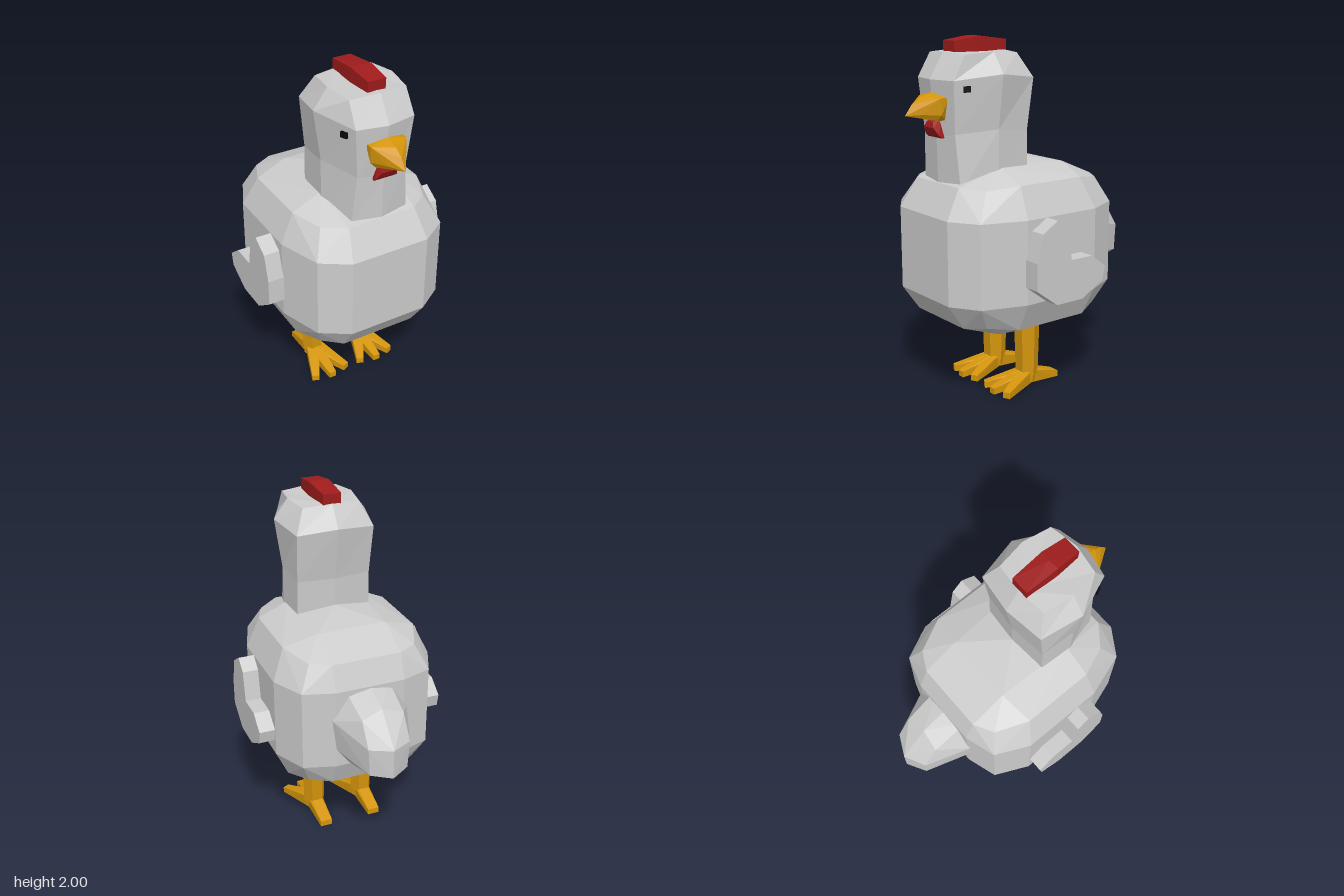
import * as THREE from 'three';
import { ConvexGeometry } from 'three/addons/geometries/ConvexGeometry.js';

const mat = (color) => new THREE.MeshStandardMaterial({ color, flatShading: true });
const grey = mat(0xcccccc), orange = mat(0xd4950c), red = mat(0xa01c1c), black = mat(0x0a0a0a);

function add(parent, name, geometry, material) {
  const mesh = new THREE.Mesh(geometry, material);
  mesh.name = name;
  parent.add(mesh);
  return mesh;
}

// Faceted solid around half-points [x, y, z], mirrored across x = 0
function hull(half) {
  const pts = [];
  for (const [x, y, z] of half) {
    pts.push(new THREE.Vector3(x, y, z));
    if (x !== 0) pts.push(new THREE.Vector3(-x, y, z));
  }
  return new ConvexGeometry(pts);
}

// Skin over stacked rings; each is a half outline [x, y, z] from back to front, mirrored
function loft(halfRings) {
  const rings = halfRings.map((h) => [
    ...h, ...h.slice(1, -1).reverse().map(([x, y, z]) => [-x, y, z]),
  ]);
  const n = rings[0].length, index = [];
  for (let r = 0; r < rings.length - 1; r++) {
    for (let i = 0; i < n; i++) {
      const a = r * n + i, b = r * n + (i + 1) % n;
      index.push(a, a + n, b, b, a + n, b + n);
    }
  }
  const top = (rings.length - 1) * n;
  for (let i = 1; i < n - 1; i++) {
    index.push(0, i, i + 1, top, top + i + 1, top + i);
  }
  // Counter-clockwise order seen from outside
  for (let i = 0; i < index.length; i += 3) {
    [index[i + 1], index[i + 2]] = [index[i + 1], index[i + 2]];
  }
  const g = new THREE.BufferGeometry();
  g.setAttribute('position', new THREE.Float32BufferAttribute(rings.flat(2), 3));
  g.setIndex(index);
  const flat = g.toNonIndexed();
  flat.computeVertexNormals();
  return flat;
}

function bodyGeometry() {
  const waist = [[0.23, 0.635], [0.385, 0.535], [0.465, 0.29], [0.465, -0.18], [0.375, -0.37], [0.2, -0.425]];
  const pts = [];
  for (const y of [0.61, 1.07]) for (const [x, z] of waist) pts.push([x, y, z]);
  // Lower bevel and belly
  pts.push([0.22, 0.465, 0.535], [0.33, 0.48, 0.46], [0.39, 0.45, 0.29], [0.39, 0.45, -0.16],
    [0.32, 0.48, -0.31], [0.2, 0.475, -0.37], [0.22, 0.38, 0.3], [0.22, 0.38, -0.15]);
  // Upper bevel and back
  pts.push([0.2, 1.23, 0.54], [0.32, 1.22, 0.45], [0.39, 1.24, 0.28], [0.39, 1.24, -0.13],
    [0.31, 1.21, -0.31], [0.2, 1.21, -0.37], [0.22, 1.315, 0.28], [0.2, 1.3, -0.16], [0, 1.34, 0.08]);
  return hull(pts);
}

function headGeometry() {
  return loft([
    [[0, 1.2, 0.08], [0.22, 1.2, 0.105], [0.23, 1.2, 0.3], [0.17, 1.2, 0.505], [0, 1.2, 0.535]],
    [[0, 1.5, 0.075], [0.215, 1.5, 0.1], [0.23, 1.52, 0.3], [0.145, 1.5, 0.52], [0, 1.48, 0.54]],
    [[0, 1.8, 0.03], [0.225, 1.78, 0.065], [0.272, 1.81, 0.3], [0.17, 1.78, 0.54], [0, 1.78, 0.575]],
    [[0, 1.92, 0.11], [0.165, 1.91, 0.13], [0.19, 1.92, 0.3], [0.165, 1.91, 0.465], [0, 1.92, 0.49]],
  ]);
}

// Wing outline as [z, y], extruded outwards
function wingGeometry() {
  const outline = [[0.165, 1.07], [0.095, 1.01], [0.065, 0.84], [-0.08, 0.84], [-0.175, 0.765], [-0.16, 0.69],
    [-0.015, 0.61], [0.165, 0.61], [0.3, 0.71], [0.3, 0.86], [0.26, 1.01]];
  const shape = new THREE.Shape(outline.map(([z, y]) => new THREE.Vector2(-z, y)));
  const g = new THREE.ExtrudeGeometry(shape, { depth: 0.155, bevelEnabled: false });
  return g.rotateY(Math.PI / 2).translate(0.4, 0, 0);
}

function toeGeometry(length, tip) {
  return hull([
    [0.045, 0.1, -0.01], [0.04, 0.02, -0.01], [0.03, 0.095, 0.05], [0.024, 0.065, 0.12],
    [tip, 0.04, length], [tip, 0.005, length], [0.022, 0.025, 0.07],
  ]);
}

function makeLeg(side) {
  const leg = new THREE.Group();
  leg.name = side > 0 ? 'leftLeg' : 'rightLeg';
  leg.position.set(0.155 * side, 0, 0.05);
  // Six-sided shank with corners pointing sideways
  const shank = new THREE.CylinderGeometry(0.075, 0.064, 0.37, 6).rotateY(Math.PI / 6);
  shank.rotateY(Math.PI / 3).translate(0, 0.255, 0);
  add(leg, 'shank', shank, orange);
  add(leg, 'ankle', new THREE.CylinderGeometry(0.064, 0.055, 0.07, 6).rotateY(Math.PI / 2).translate(0, 0.065, 0), orange);
  // Three front toes and one back toe
  for (const angle of [-0.43, 0, 0.43]) {
    add(leg, 'frontToe', toeGeometry(0.25, 0.021), orange).rotation.y = angle;
  }
  add(leg, 'backToe', toeGeometry(0.205, 0.035), orange).rotation.y = Math.PI;
  return leg;
}

export function createModel() {
  const model = new THREE.Group();
  model.name = 'chicken';

  add(model, 'body', bodyGeometry(), grey);
  add(model, 'headAndNeck', headGeometry(), grey);

  // Tail: wide root narrowing to a blunt ridge
  add(model, 'tail', hull([
    [0.13, 1.06, -0.36], [0, 1.075, -0.38], [0.22, 0.9, -0.42], [0.2, 0.72, -0.42], [0.13, 0.61, -0.37],
    [0.12, 0.97, -0.585], [0, 1.01, -0.57], [0.12, 0.84, -0.67], [0.11, 0.68, -0.67],
    [0, 0.84, -0.73], [0, 0.67, -0.73],
  ]), grey);

  // Comb: low arched crest, widest in the middle
  add(model, 'comb', hull([
    [0.052, 1.88, 0.45], [0.052, 1.975, 0.455], [0.062, 1.88, 0.3], [0.06, 1.995, 0.31],
    [0, 2, 0.3], [0.052, 1.88, 0.115], [0.052, 1.975, 0.115],
  ]), red);

  // Beak: hooked wedge
  add(model, 'beak', hull([
    [0.108, 1.69, 0.53], [0, 1.715, 0.56], [0.105, 1.69, 0.575], [0.1, 1.6, 0.57], [0.075, 1.57, 0.53],
    [0.075, 1.57, 0.58], [0, 1.69, 0.64], [0.05, 1.605, 0.655], [0, 1.655, 0.69], [0, 1.6, 0.73],
  ]), orange);

  add(model, 'wattle', hull([
    [0.03, 1.58, 0.53], [0.03, 1.56, 0.58], [0.045, 1.53, 0.588], [0.065, 1.49, 0.565],
    [0.065, 1.475, 0.55], [0.06, 1.475, 0.515],
  ]), red);

  for (const side of [1, -1]) {
    const name = side > 0 ? 'left' : 'right';
    const eye = add(model, name + 'Eye', new THREE.BoxGeometry(0.02, 0.032, 0.038), black);
    eye.position.set(0.194 * side, 1.737, 0.475);
    eye.rotation.y = -0.41 * side;

    const wing = add(model, name + 'Wing', wingGeometry(), grey);
    if (side < 0) wing.position.x = -0.955;

    model.add(makeLeg(side));
  }
  return model;
}
